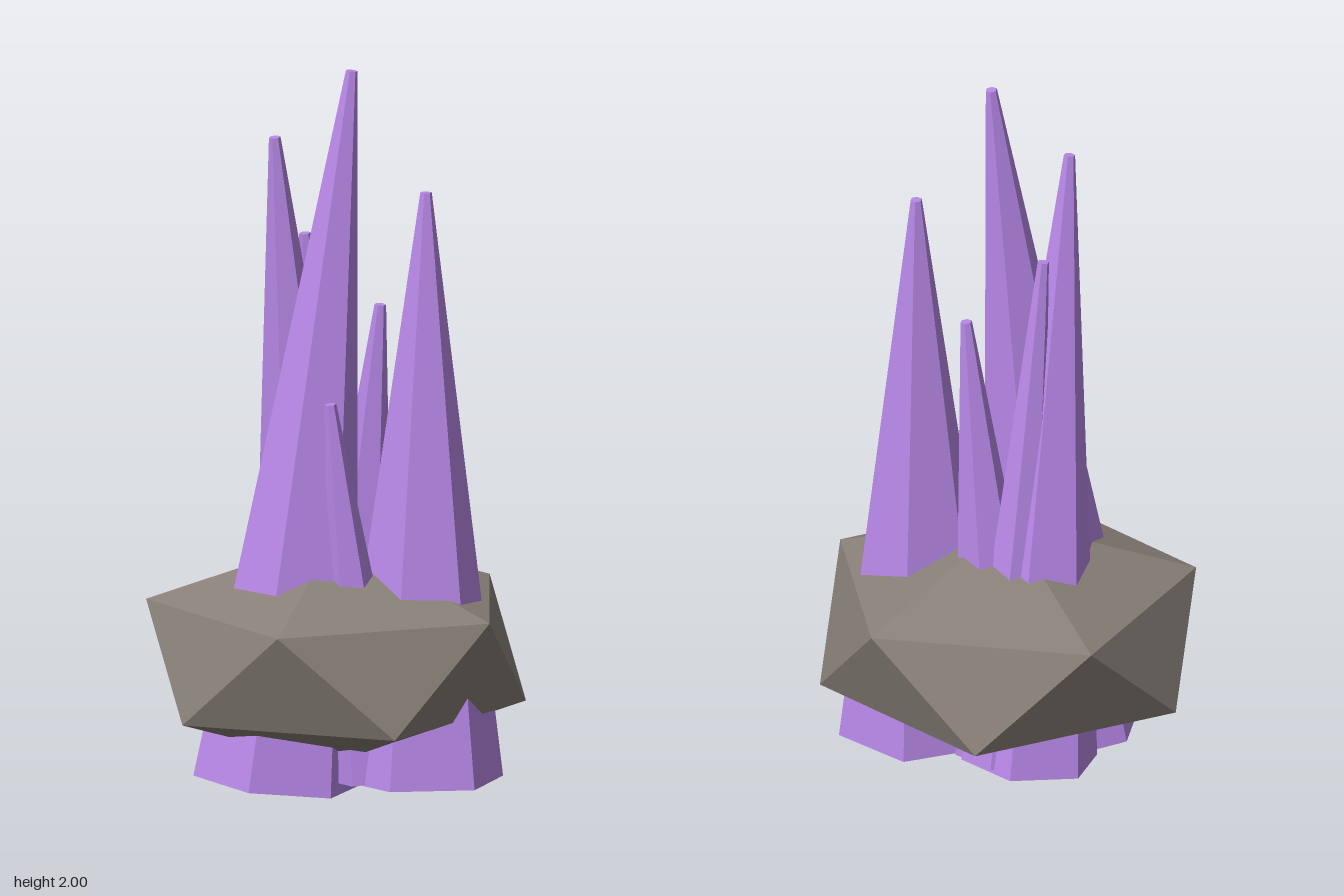
import * as THREE from 'three';

const rockMaterial = new THREE.MeshStandardMaterial({ color: 0x888078, flatShading: true });
const crystalMaterial = new THREE.MeshStandardMaterial({ color: 0xb888e8, flatShading: true });

// Six-sided tapering shard running from a base centre to a tip centre
function createCrystal(name, base, tip, radius, twist = 0) {
  const start = new THREE.Vector3(...base);
  const end = new THREE.Vector3(...tip);
  const axis = end.clone().sub(start);
  const geometry = new THREE.CylinderGeometry(0.016, radius, axis.length(), 6);
  geometry.rotateY(twist);
  const mesh = new THREE.Mesh(geometry, crystalMaterial);
  mesh.name = name;
  mesh.position.copy(start).add(end).multiplyScalar(0.5);
  mesh.quaternion.setFromUnitVectors(new THREE.Vector3(0, 1, 0), axis.normalize());
  return mesh;
}

// Squashed icosahedron standing on one of its corners
function createRock() {
  const geometry = new THREE.IcosahedronGeometry(0.58, 0);
  geometry.rotateZ(-Math.atan(2 / (1 + Math.sqrt(5))));
  geometry.scale(1, 0.55, 1);
  const rock = new THREE.Mesh(geometry, rockMaterial);
  rock.name = 'rock';
  rock.position.y = 0.372;
  return rock;
}

export function createModel() {
  const model = new THREE.Group();
  model.name = 'crystalCluster';
  model.add(createRock());

  // Shards: name, base centre, tip centre, base radius, twist
  const crystals = new THREE.Group();
  crystals.name = 'crystals';
  const shards = [
    ['tallCrystal', [-0.19, 0.026, -0.02], [0.02, 2.0, 0.045], 0.23, 0.09],
    ['backCrystal', [0.045, 0.035, -0.13], [-0.127, 1.805, -0.11], 0.192, 0],
    ['frontCrystal', [0.115, 0.04, 0.225], [0.168, 1.665, 0.187], 0.235, 0.08],
    ['innerBackCrystal', [0.12, 0.055, -0.1], [-0.018, 1.52, -0.12], 0.112, 0],
    ['sideCrystal', [0.065, 0.05, -0.058], [0.122, 1.33, 0.038], 0.142, 0],
    ['smallCrystal', [-0.012, 0.055, 0.175], [-0.117, 1.1, 0.135], 0.12, 0],
  ];
  for (const shard of shards) crystals.add(createCrystal(...shard));
  model.add(crystals);
  return model;
}
